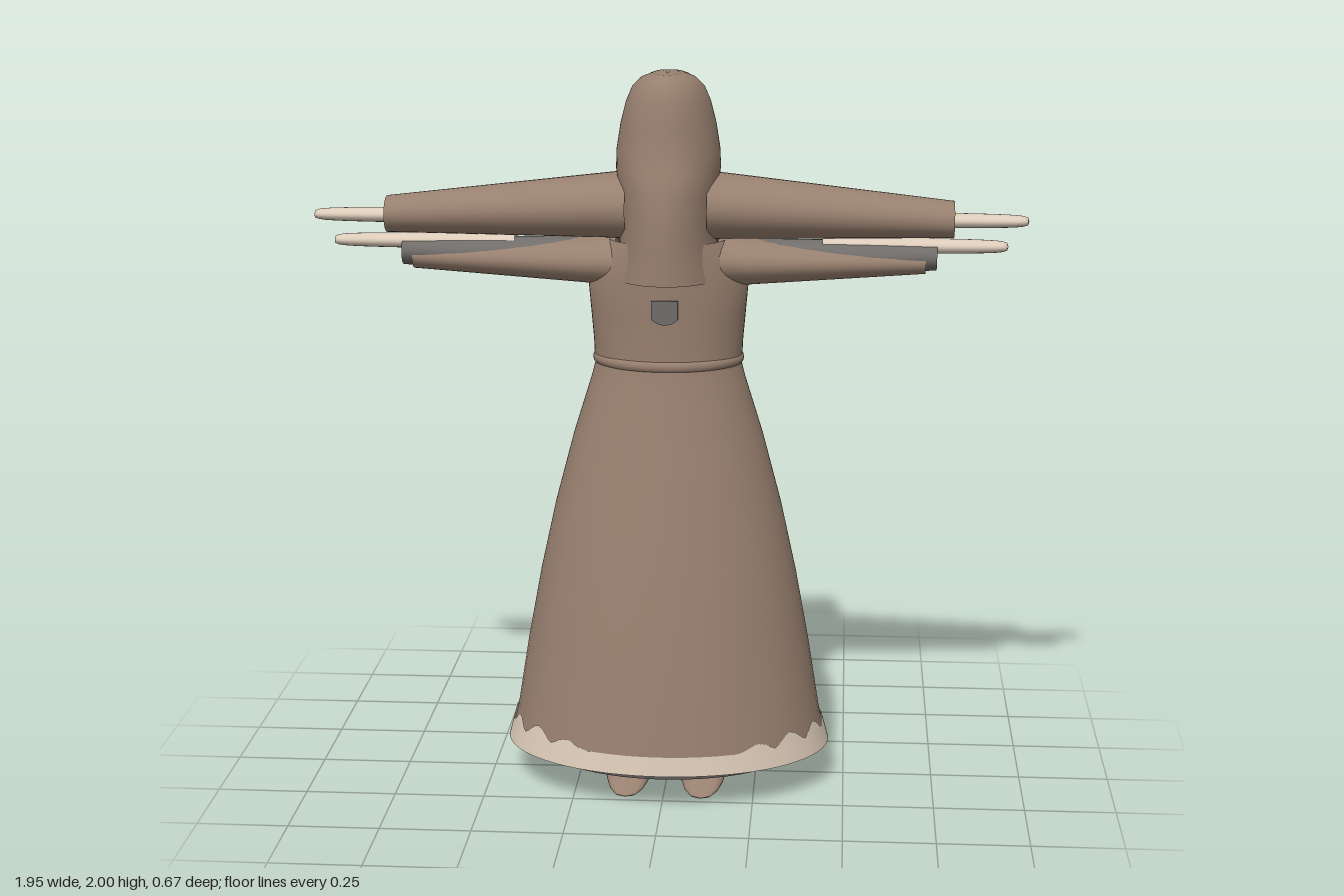
import * as THREE from 'three';

const paint = (name, color) => {
  const m = new THREE.MeshStandardMaterial({ color, side: THREE.DoubleSide });
  m.name = name;
  return m;
};

// Skin a list of equal-length rings of [x, y, z] points
function loft(rings, closed = true) {
  const n = rings[0].length, pos = rings.flat(2), idx = [];
  for (let r = 0; r < rings.length - 1; r++) {
    for (let i = 0; i < (closed ? n : n - 1); i++) {
      const a = r * n + i, b = r * n + (i + 1) % n, c = a + n, d = b + n;
      idx.push(a, c, b, b, c, d);
    }
  }
  const g = new THREE.BufferGeometry();
  g.setAttribute('position', new THREE.Float32BufferAttribute(pos, 3));
  g.setIndex(idx);
  g.computeVertexNormals();
  return g;
}

const around = (n, fn) => Array.from({ length: n }, (_, i) => fn((i / n) * Math.PI * 2));
// Horizontal ellipses from rows of [y, rx, rz]
const upright = (rows, n = 60) => loft(rows.map(([y, rx, rz]) =>
  around(n, a => [rx * Math.sin(a), y, rz * Math.cos(a)])));
// Ellipses along x from rows of [x, centre y, ry, rz]
const sideways = (rows, s, n = 32) => loft(rows.map(([x, y, ry, rz]) =>
  around(n, a => [s * x, y + ry * Math.sin(a), s * rz * Math.cos(a)])));

export function createModel() {
  const model = new THREE.Group();
  model.name = 'robedFigure';
  const brown = paint('brownCloth', 0x98806f);
  const cream = paint('creamSkin', 0xdccbb9);
  const grey = paint('greyCloth', 0x706d6b);
  const add = (name, geo, mat, parent = model) => {
    const mesh = new THREE.Mesh(geo, mat);
    mesh.name = name;
    parent.add(mesh);
    return mesh;
  };

  // Robe
  const skirt = [[1.21, 0.2, 0.157], [1.16, 0.213, 0.163], [1.0, 0.263, 0.192], [0.8, 0.316, 0.23],
    [0.6, 0.36, 0.264], [0.4, 0.397, 0.294], [0.2, 0.429, 0.322], [0.11, 0.45, 0.332]];
  add('skirt', upright(skirt), brown);
  add('bodice', upright([[1.55, 0.165, 0.163], [1.5, 0.2, 0.162], [1.43, 0.22, 0.16],
    [1.35, 0.213, 0.158], [1.27, 0.206, 0.155], [1.2, 0.203, 0.157]]), brown);
  const belt = new THREE.TorusGeometry(1, 0.06, 10, 60);
  belt.rotateX(Math.PI / 2).scale(0.197, 0.24, 0.155);
  add('belt', belt, brown).position.y = 1.217;

  // Scalloped hem, underside and underskirt
  const hemTop = around(160, a => {
    const side = THREE.MathUtils.smoothstep(Math.abs(Math.sin(a)), 0.4, 0.75);
    const y = 0.163 + 0.033 * side * Math.pow(Math.abs(Math.cos(10 * a)), 1.5);
    const k = (0.2 - y) / 0.09;
    return [(0.432 + 0.022 * k) * Math.sin(a), y, (0.325 + 0.011 * k) * Math.cos(a)];
  });
  const hemBottom = around(160, a => [0.456 * Math.sin(a), 0.11, 0.337 * Math.cos(a)]);
  add('hem', loft([hemTop, hemBottom]), cream);
  add('hemUnderside', upright([[0.11, 0.456, 0.337], [0.11, 0.001, 0.001]]), cream);
  add('underskirt', upright([[0.115, 0.366, 0.28], [0.08, 0.366, 0.28], [0.08, 0.35, 0.265],
    [0.11, 0.35, 0.265]]), grey);

  // Hood, open at the back: [y, half width, front z, back edge z]
  const hoodRows = [[2.0, 0.004, 0.06, -0.02], [1.997, 0.04, 0.092, -0.035], [1.985, 0.073, 0.118, -0.045],
    [1.96, 0.098, 0.138, -0.057], [1.92, 0.115, 0.15, -0.064], [1.86, 0.13, 0.159, -0.074],
    [1.79, 0.141, 0.165, -0.09], [1.74, 0.142, 0.182, -0.102], [1.68, 0.135, 0.197, -0.12],
    [1.6, 0.131, 0.201, -0.143], [1.54, 0.134, 0.201, -0.16], [1.5, 0.14, 0.201, -0.165],
    [1.445, 0.152, 0.201, -0.165]];
  const hoodRings = hoodRows.map(([y, w, f, b]) => Array.from({ length: 49 }, (_, i) => {
    const u = (i - 24) / 16, s = Math.sign(u), m = Math.abs(u);
    if (m <= 1) return [w * Math.sin(u * Math.PI / 2), y, f * Math.cos(u * Math.PI / 2)];
    const t = (m - 1) * 2;
    return [s * w * (1 - 0.22 * t * t), y, b * t];
  }));
  add('hood', loft(hoodRings, false), brown);
  const edge = [...hoodRings.map(r => r[0]).reverse(), ...hoodRings.slice(1).map(r => r[48])];
  const rim = new THREE.CatmullRomCurve3(edge.map(p => new THREE.Vector3(p[0], p[1] - 0.006, p[2] + 0.003)));
  add('hoodRim', new THREE.TubeGeometry(rim, 100, 0.008, 8), brown);

  // Head, neck and shoulders inside the hood
  const head = new THREE.SphereGeometry(1, 32, 24);
  head.scale(0.08, 0.1, 0.085);
  add('head', head, cream).position.set(0, 1.865, 0.02);
  const jaw = new THREE.SphereGeometry(1, 24, 16);
  jaw.scale(0.055, 0.065, 0.065);
  add('jaw', jaw, cream).position.set(0, 1.79, 0.02);
  add('neckAndShoulders', upright([[1.78, 0.042, 0.042], [1.68, 0.045, 0.045], [1.65, 0.06, 0.055],
    [1.62, 0.1, 0.085], [1.58, 0.123, 0.115], [1.5, 0.13, 0.14]], 40), cream);
  const collar = new THREE.TorusGeometry(1, 0.14, 10, 40);
  collar.rotateX(Math.PI / 2).scale(0.105, 0.12, 0.105);
  add('collar', collar, cream).position.set(0, 1.59, 0);

  // Shield badges, front and back
  const shield = new THREE.Shape([[-0.036, 0.033], [-0.036, -0.018], [-0.02, -0.029], [0, -0.034],
    [0.02, -0.029], [0.036, -0.018], [0.036, 0.033]].map(p => new THREE.Vector2(...p)));
  const badgeGeo = new THREE.ExtrudeGeometry(shield, { depth: 0.008, bevelEnabled: false });
  add('frontBadge', badgeGeo, grey).position.set(0, 1.367, 0.155);
  const backBadge = add('backBadge', badgeGeo, grey);
  backBadge.position.set(0, 1.367, -0.155);
  backBadge.rotation.y = Math.PI;

  // Two pairs of arms and the feet
  const hand = (x0, x1, y, s) => sideways(Array.from({ length: 13 }, (_, i) => {
    const t = i / 12, x = x0 + (x1 - x0) * (1 - (1 - t) ** 2);
    const k = Math.sqrt(Math.max(0, 1 - t ** 6));
    return [x, y, (0.023 - 0.007 * t) * k, (0.036 - 0.008 * t) * k];
  }), s, 20);
  for (const s of [1, -1]) {
    const side = new THREE.Group();
    side.name = s > 0 ? 'leftLimbs' : 'rightLimbs';
    model.add(side);
    add('upperSleeve', sideways([[0.11, 1.638, 0.092, 0.132], [0.2, 1.634, 0.086, 0.122],
      [0.775, 1.605, 0.05, 0.059]], s), brown, side);
    add('upperHand', hand(0.45, 0.977, 1.602, s), cream, side);
    add('lowerSleeve', sideways([[0.14, 1.488, 0.072, 0.113], [0.22, 1.485, 0.063, 0.103],
      [0.7, 1.49, 0.034, 0.052]], s), brown, side);
    add('innerSleeve', sideways([[0.2, 1.487, 0.06, 0.085], [0.73, 1.505, 0.039, 0.049]], s), grey, side);
    add('lowerHand', hand(0.42, 0.923, 1.532, s), cream, side);

    // Shoe: cross-sections from heel to toe as [z, half width, sole y, top y]
    const shoe = [[-0.035, 0.03, 0.07, 0.11], [-0.03, 0.045, 0.05, 0.115], [-0.01, 0.058, 0.025, 0.115],
      [0.03, 0.065, 0.01, 0.115], [0.08, 0.066, 0.006, 0.088], [0.14, 0.06, 0.005, 0.056],
      [0.19, 0.047, 0.005, 0.034], [0.225, 0.028, 0.007, 0.02], [0.238, 0.002, 0.01, 0.012]];
    add('shoe', loft(shoe.map(([z, w, lo, hi]) => around(24, a => [
      s * 0.105 + w * Math.sign(Math.cos(a)) * Math.abs(Math.cos(a)) ** 0.7,
      (lo + hi) / 2 + (hi - lo) / 2 * Math.sin(a), z]))), brown, side);
  }
  return model;
}
